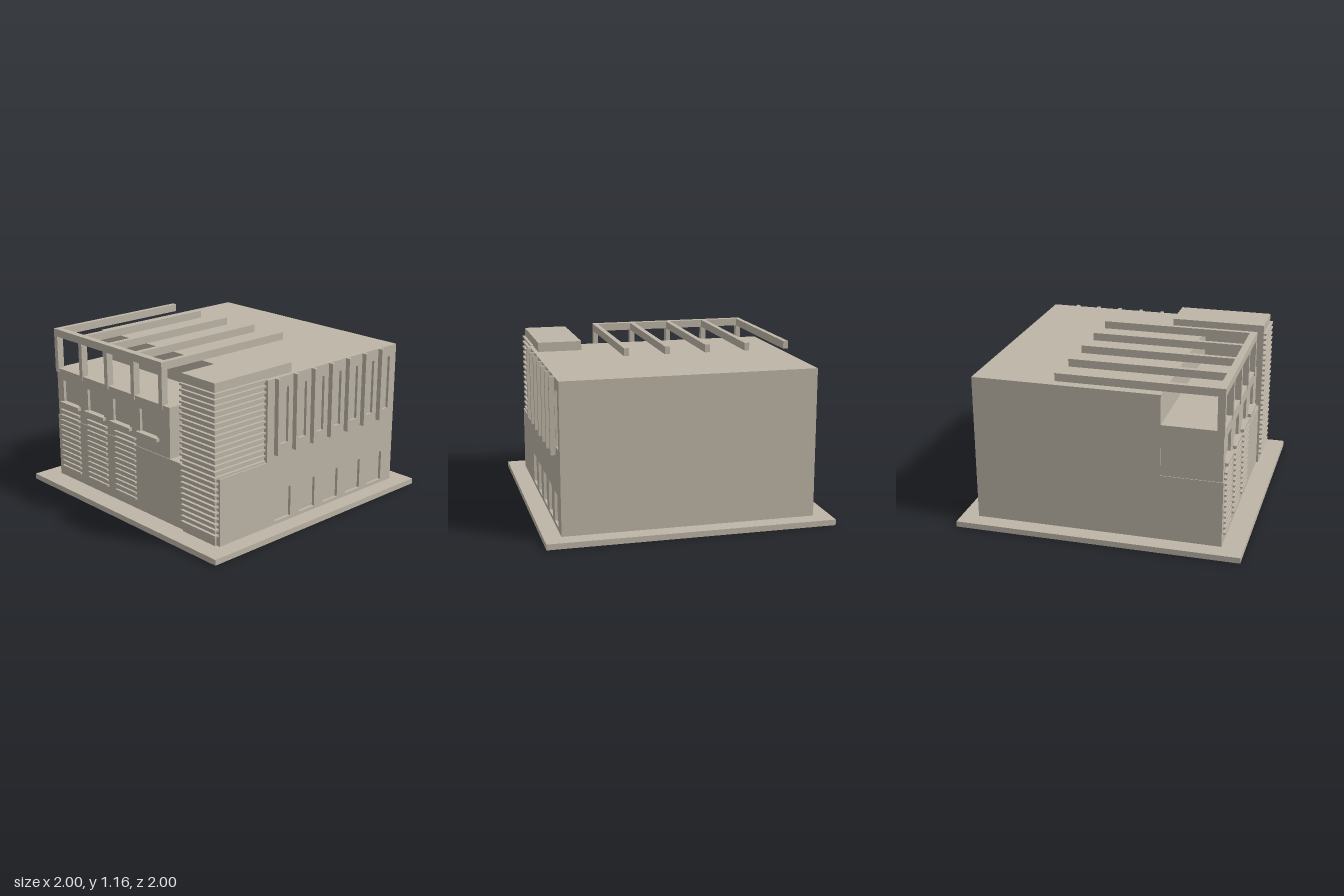
import * as THREE from 'three';

export function createModel() {
  const model = new THREE.Group();
  model.name = 'building';
  const stone = new THREE.MeshStandardMaterial({ color: 0xbdb5a7 });
  stone.name = 'warm grey stone';

  const add = (name, geometry, parent = model) => {
    const mesh = new THREE.Mesh(geometry, stone);
    mesh.name = name;
    parent.add(mesh);
    return mesh;
  };
  const group = (name) => {
    const g = new THREE.Group();
    g.name = name;
    model.add(g);
    return g;
  };
  // Box given by its limits along each axis
  const block = (name, [x0, x1], [y0, y1], [z0, z1], parent) => {
    const geo = new THREE.BoxGeometry(x1 - x0, y1 - y0, z1 - z0);
    geo.translate((x0 + x1) / 2, (y0 + y1) / 2, (z0 + z1) / 2);
    return add(name, geo, parent);
  };
  // Flat wall panel with rectangular openings [u0, u1, v0, v1]
  const panel = (outline, openings, depth) => {
    const shape = new THREE.Shape(outline.map(([u, v]) => new THREE.Vector2(u, v)));
    for (const [u0, u1, v0, v1] of openings) {
      shape.holes.push(new THREE.Path([[u0, v0], [u0, v1], [u1, v1], [u1, v0]]
        .map(([u, v]) => new THREE.Vector2(u, v))));
    }
    return new THREE.ExtrudeGeometry(shape, { depth, bevelEnabled: false });
  };

  // Ground slab and main volumes
  block('groundSlab', [-1, 1], [0, 0.04], [-1, 1]);
  block('lowerFloor', [-0.88, 0.86], [0.04, 0.51], [-0.88, 0.85]);
  block('upperFloor', [-0.88, 0.86], [0.51, 1.08], [-0.88, 0.425]);
  block('balconyBlock', [-0.875, 0.39], [0.51, 0.87], [0.425, 0.825]);

  // Balcony front with four recessed windows and their sills
  const frontOpenings = [];
  const sills = group('windowSills');
  for (let i = 0; i < 4; i++) {
    const x = -0.712 + i * 0.294;
    frontOpenings.push([x - 0.092, x + 0.092, 0.627, 0.79]);
    block('sill', [x - 0.112, x + 0.112], [0.605, 0.627], [0.835, 0.87], sills);
  }
  const front = panel([[-0.875, 0.51], [0.39, 0.51], [0.39, 0.87], [-0.875, 0.87]], frontOpenings, 0.02);
  front.translate(0, 0, 0.825);
  add('balconyFront', front);

  // Right wall with two rows of recessed windows; u runs towards the back
  const sideOpenings = [];
  const fins = group('sideFins');
  for (let i = 0; i < 7; i++) {
    const z = 0.348 - i * 0.174;
    block('fin', [0.87, 0.915], [0.55, 1.08], [z - 0.012, z + 0.012], fins);
    sideOpenings.push([-z + 0.021, -z + 0.12, 0.61, 1.0]);
  }
  for (let i = 0; i < 5; i++) {
    const u = -0.343 + i * 0.24;
    sideOpenings.push([u, u + 0.15, 0.065, 0.285]);
  }
  const side = panel([[-0.85, 0.04], [0.88, 0.04], [0.88, 1.08], [-0.425, 1.08], [-0.425, 0.51], [-0.85, 0.51]],
    sideOpenings, 0.02);
  side.rotateY(Math.PI / 2);
  side.translate(0.86, 0, 0);
  add('rightWall', side);

  // Corner tower with its roof cap reaching back over the main roof
  block('towerShaft', [0.535, 0.85], [0.04, 1.08], [0.42, 0.865]);
  block('towerCap', [0.535, 0.85], [1.08, 1.147], [0.175, 0.865]);

  // Horizontal slats: full height around the tower, short stacks on the front
  const towerSlats = group('towerSlats');
  for (let i = 0; i < 25; i++) {
    const y = 0.109 + i * 0.0401;
    const back = y > 0.5 ? 0.43 : 0.84;
    block('towerSlat', [0.535, 0.87], [y, y + 0.014], [back, 0.886], towerSlats);
  }
  const frontSlats = group('frontSlats');
  for (const x of [-0.835, -0.513, -0.193]) {
    for (let i = 0; i < 12; i++) {
      const y = 0.109 + i * 0.0401;
      block('frontSlat', [x, x + 0.227], [y, y + 0.014], [0.84, 0.866], frontSlats);
    }
  }

  // Pergola: front beam, posts and long rafters over the roof
  const pergola = group('pergola');
  block('frontBeam', [-0.887, 0.32], [1.11, 1.165], [0.8, 0.85], pergola);
  for (let i = 0; i < 5; i++) {
    const x = -0.869 + i * 0.293;
    block('rafter', [x - 0.018, x + 0.018], [1.11, 1.165], [-0.29, 0.8], pergola);
    block('post', [x - 0.018, x + 0.018], [0.84, 1.11], [0.8, 0.85], pergola);
  }
  return model;
}
